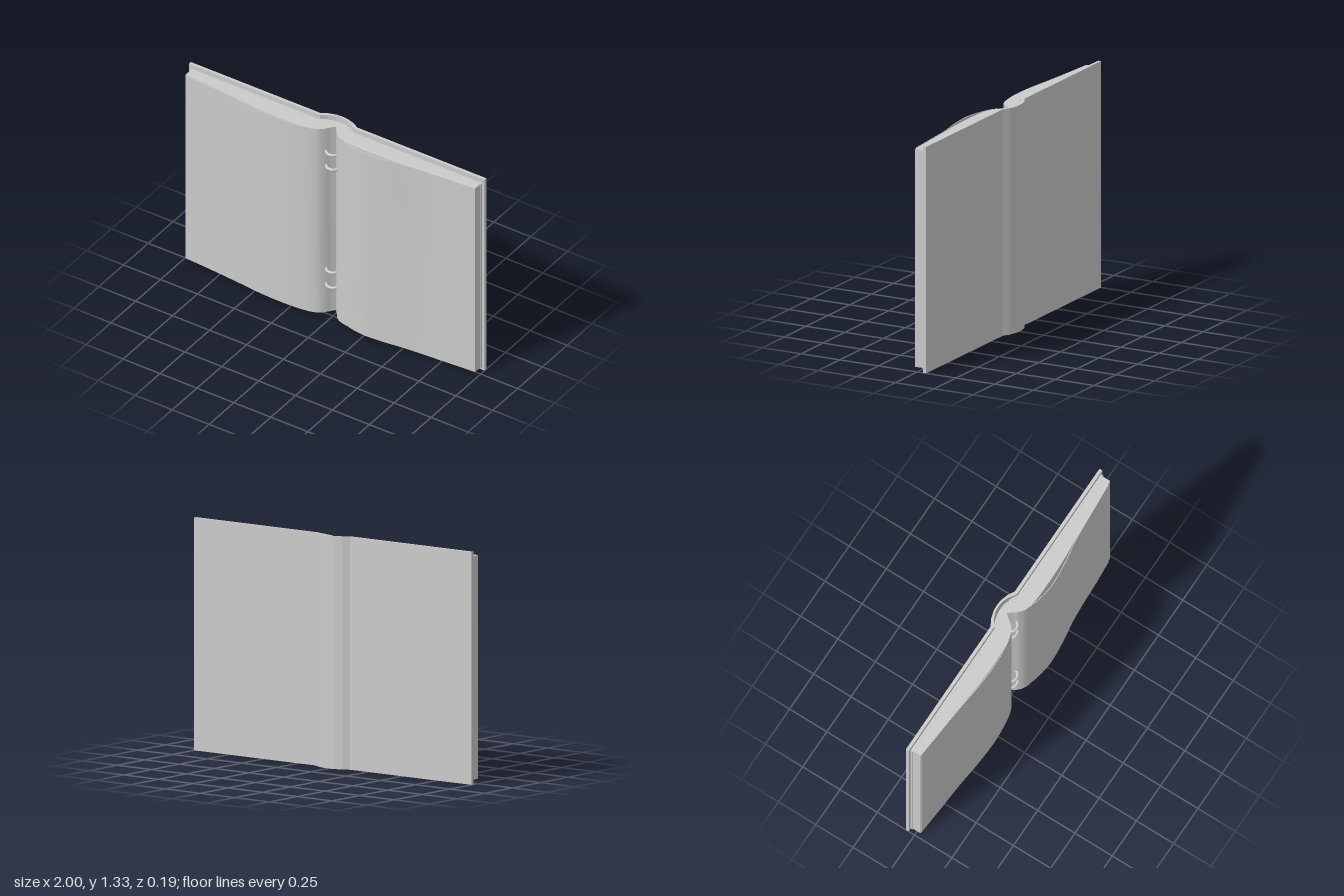
import * as THREE from 'three';
import { toCreasedNormals } from 'three/addons/utils/BufferGeometryUtils.js';

const material = new THREE.MeshStandardMaterial({ color: 0xcccccc });

// Extrudes a closed outline of [x, z] points upward from y0 to y1.
function upright(outline, y0, y1, steps = 1) {
  const shape = new THREE.Shape(outline.map(([x, z]) => new THREE.Vector2(x, -z)));
  const geometry = new THREE.ExtrudeGeometry(shape, { depth: y1 - y0, steps, bevelEnabled: false });
  return geometry.rotateX(-Math.PI / 2).translate(0, y0, 0);
}

function part(name, geometry) {
  const mesh = new THREE.Mesh(geometry, material);
  mesh.name = name;
  return mesh;
}

// Smooth line through a few [x, z] points.
function smooth(points, divisions) {
  const curve = new THREE.CatmullRomCurve3(points.map(([x, z]) => new THREE.Vector3(x, 0, z)), false, 'centripetal');
  return curve.getPoints(divisions).map(p => [p.x, p.z]);
}

// Flat line across the book, arched backward at the spine.
function arched(halfWidth, flat, peak, halfSpine) {
  const d = peak - flat;
  const half = [[halfWidth, flat], [halfSpine, flat], [halfSpine * 0.7, flat + d * 0.55], [halfSpine * 0.3, flat + d * 0.93]];
  return [...half.map(([x, z]) => [-x, z]), [0, peak], ...half.reverse()];
}

// Thin curved sheet whose middle lifts slightly more at the top.
function sheet(points, y0, y1, lift) {
  const front = smooth(points, 28);
  const back = front.map(([x, z]) => [x, z - 0.004]).reverse();
  const geometry = upright([...front, ...back], y0, y1, 6);
  const pos = geometry.attributes.position;
  for (let i = 0; i < pos.count; i++) {
    const t = (pos.getY(i) - y0) / (y1 - y0);
    const across = Math.sin(Math.PI * Math.min(1, Math.abs(pos.getX(i)) / 0.8));
    pos.setZ(i, pos.getZ(i) - lift * (1 - t) * across);
  }
  return toCreasedNormals(geometry, 0.6);
}

export function createModel() {
  const book = new THREE.Group();
  book.name = 'openBook';

  // Hard cover with a rounded spine
  const outer = arched(1, -0.058, -0.098, 0.125);
  const inner = arched(1, -0.039, -0.086, 0.115);
  book.add(part('cover', upright([...outer, ...inner.reverse()], 0, 1.325)));

  // Endpaper layer lying on the cover
  const endBack = arched(0.985, -0.038, -0.075, 0.12);
  const endFront = arched(0.985, -0.022, -0.06, 0.12);
  book.add(part('endpaper', upright([...endBack, ...endFront.reverse()], 0.02, 1.297)));

  // Page blocks, swelling away from the gutter
  const leftFace = [[0, -0.03], [0.02, -0.008], [0.045, 0.025], [0.08, 0.048], [0.14, 0.062],
    [0.27, 0.068], [0.45, 0.064], [0.6, 0.052], [0.8, 0.039], [0.98, 0.026]];
  const rightFace = [[0, -0.03], [-0.02, -0.008], [-0.045, 0.025], [-0.08, 0.05], [-0.14, 0.066],
    [-0.29, 0.076], [-0.45, 0.071], [-0.6, 0.056], [-0.8, 0.039], [-0.98, 0.026]];
  const blockBack = arched(0.98, -0.022, -0.06, 0.12);
  const faces = [...smooth(rightFace, 36).reverse(), ...smooth(leftFace, 36).slice(1)];
  book.add(part('pages', toCreasedNormals(upright([...blockBack, ...faces.reverse()], 0.022, 1.296), 0.6)));

  // Loose top sheets
  book.add(part('looseSheetLeft', sheet([[0.03, 0.004], [0.06, 0.038], [0.1, 0.057], [0.18, 0.081], [0.27, 0.094],
    [0.43, 0.083], [0.58, 0.059], [0.8, 0.043], [0.955, 0.032]], 0.026, 1.298, 0.008)));
  book.add(part('looseSheetRight', sheet([[-0.03, 0.006], [-0.06, 0.04], [-0.1, 0.059], [-0.18, 0.075], [-0.3, 0.084],
    [-0.47, 0.075], [-0.62, 0.058], [-0.8, 0.043], [-0.975, 0.029]], 0.026, 1.294, 0.004)));

  // Binding rings in the gutter
  for (const y of [0.22, 0.325, 1.04, 1.14]) {
    const ring = part('bindingRing', new THREE.TorusGeometry(0.04, 0.009, 10, 32).rotateX(Math.PI / 2));
    ring.position.set(0, y, -0.005);
    book.add(ring);
  }
  return book;
}
